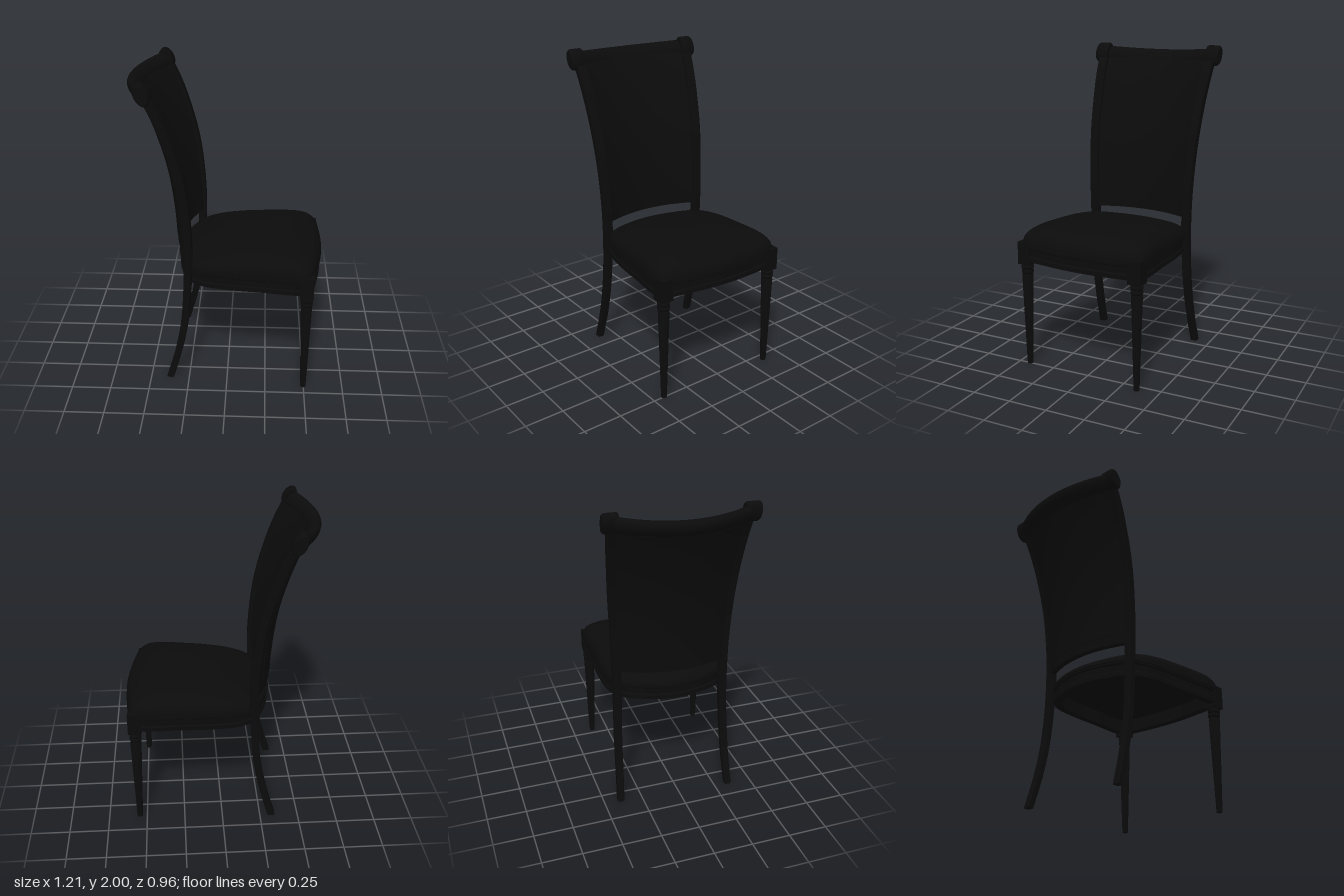
import * as THREE from 'three';
import { toCreasedNormals } from 'three/addons/utils/BufferGeometryUtils.js';

const V = (x, y, z) => new THREE.Vector3(x, y, z);
const black = new THREE.MeshStandardMaterial({ color: 0x0b0b0b });

function part(name, geometry) {
  const mesh = new THREE.Mesh(geometry, black);
  mesh.name = name;
  return mesh;
}

// Skin between closed rings of equal length, with strip caps on both ends
function loft(rings, capped = true, crease = 0.6) {
  const n = rings[0].length, pts = rings.flat(), idx = [];
  for (let r = 0; r < rings.length - 1; r++) {
    for (let i = 0; i < n; i++) {
      const a = r * n + i, b = r * n + (i + 1) % n;
      idx.push(a, b, b + n, a, b + n, a + n);
    }
  }
  if (capped) {
    const e = (rings.length - 1) * n;
    for (let i = 0; i < n / 2 - 1; i++) {
      const j = n - 1 - i;
      idx.push(i + 1, i, j, i + 1, j, j - 1);
      idx.push(e + i, e + i + 1, e + j, e + i + 1, e + j - 1, e + j);
    }
  }
  // Turn the faces outward whichever way the rings run
  let volume = 0;
  for (let i = 0; i < idx.length; i += 3) {
    volume += pts[idx[i]].dot(pts[idx[i + 1]].clone().cross(pts[idx[i + 2]]));
  }
  if (volume < 0) idx.reverse();
  const g = new THREE.BufferGeometry().setFromPoints(pts);
  g.setIndex(idx);
  return toCreasedNormals(g, crease);
}

// Centre line of a rear post, one point every 0.2 of height
const spineX = [-0.35, -0.293, -0.252, -0.232, -0.223, -0.222, -0.235, -0.262, -0.312, -0.382, -0.48];
const spineZ = [0.368, 0.36, 0.355, 0.35, 0.348, 0.35, 0.356, 0.366, 0.376, 0.388, 0.4];
const spine = new THREE.CatmullRomCurve3(spineX.map((x, i) => V(x, i * 0.2, spineZ[i])), false, 'catmullrom');
const spineAt = y => spine.getPoint(y / 2);
const bow = (y, u) => (0.085 + 0.022 * Math.max(0, y - 0.9)) * (1 - u * u);

// Rear leg and back upright in one sweep
function rearPost(side) {
  const rings = [];
  for (let k = 0; k <= 36; k++) {
    const y = 1.93 * k / 36, c = spineAt(y);
    const d = 0.023 + 0.005 * THREE.MathUtils.smoothstep(y, 0.5, 1.2);
    const w = 0.022 + 0.011 * y / 1.93, b = 0.006;
    rings.push([[d, w - b], [d - b, w], [b - d, w], [-d, w - b], [-d, b - w], [b - d, -w], [d - b, -w], [d, b - w]]
      .map(([x, z]) => V(c.x + x, y, side * (c.z + z))));
  }
  return loft(rings);
}

// Bowed slab between the posts; span is the share of the width covered
function backSlab(span, y0, y1, thickness) {
  const rings = [], steps = 20;
  for (let k = 0; k <= 28; k++) {
    const u = span * (k / 14 - 1), ring = [];
    for (const s of [1, -1]) {
      for (let i = 0; i <= steps; i++) {
        const y = y0 + (y1 - y0) * (s > 0 ? i : steps - i) / steps, c = spineAt(y);
        ring.push(V(c.x - bow(y, u) + s * thickness / 2, y, u * c.z));
      }
    }
    rings.push(ring);
  }
  return loft(rings);
}

// Tilted oval used by the top rail and its end scrolls
function oval(cx, cy, z, a, b, tilt) {
  return Array.from({ length: 24 }, (_, i) => {
    const t = i / 24 * Math.PI * 2, x = a * Math.cos(t), y = b * Math.sin(t);
    return V(cx + x * Math.cos(tilt) - y * Math.sin(tilt), cy + x * Math.sin(tilt) + y * Math.cos(tilt), z);
  });
}

function topRail() {
  const rings = [];
  for (let k = 0; k <= 28; k++) {
    const u = k / 14 - 1, f = 1 - u * u;
    rings.push(oval(-0.452 - 0.11 * f, 1.93 - 0.02 * f, u * 0.4, 0.037, 0.055, 0.65));
  }
  return loft(rings);
}

function endScroll(side) {
  const steps = [[0.365, 0.9], [0.373, 1], [0.444, 1], [0.456, 0.85]];
  return loft(steps.map(([z, s]) => oval(-0.45, 1.935, side * z, 0.042 * s, 0.068 * s, 0.45)));
}

// Seat plan: bowed front, rounded and bowed rear
const half = [[0.585, 0.24], [0.558, 0.38], [0.51, 0.432], [0.25, 0.425], [0, 0.41], [-0.13, 0.385], [-0.215, 0.335], [-0.29, 0.19]];
const plan = new THREE.CatmullRomCurve3([
  V(0.602, 0, 0), ...half.map(([x, z]) => V(x, 0, z)),
  V(-0.325, 0, 0), ...half.map(([x, z]) => V(x, 0, -z)).reverse(),
], true, 'centripetal').getPoints(96).slice(0, 96);
const seatX = 0.14;

function planRing(scale, height) {
  return plan.map(p => {
    const x = seatX + (p.x - seatX) * scale;
    return V(x, typeof height === 'function' ? height(x) : height, p.z * scale);
  });
}

// Hollow rail with a moulded top edge
function seatRail() {
  const steps = [[0.88, 0.795], [0.88, 0.7], [0.985, 0.7], [0.985, 0.728], [0.97, 0.735], [0.97, 0.775],
    [0.99, 0.783], [0.99, 0.795], [0.88, 0.795]];
  return loft(steps.map(([s, y]) => planRing(s, y)), false);
}

// Domed cushion, higher toward the front
function cushion() {
  const crown = x => 0.147 - 0.2 * (x - 0.33) ** 2;
  const rings = [planRing(0.85, 0.785), planRing(0.985, 0.79)];
  for (let i = 0; i <= 14; i++) {
    const t = i / 14 * Math.PI / 2;
    const s = Math.max(0.02, Math.cos(t) ** 0.55), h = Math.sin(t) ** 0.75;
    rings.push(planRing(s, x => 0.795 + h * crown(x)));
  }
  return loft(rings, true, 0.9);
}

// Turned, tapered and fluted front leg
function frontLeg() {
  const profile = [[0, 0], [0.017, 0], [0.019, 0.02], [0.036, 0.6], [0.031, 0.61], [0.038, 0.62], [0.038, 0.632],
    [0.032, 0.638], [0.039, 0.648], [0.039, 0.66], [0.033, 0.667], [0.036, 0.69]];
  const g = new THREE.LatheGeometry(profile.map(([r, y]) => new THREE.Vector2(r, y)), 48);
  const p = g.attributes.position;
  for (let i = 0; i < p.count; i++) {
    const y = p.getY(i);
    if (y < 0.01 || y > 0.605) continue;
    const f = 1 - 0.05 * (1 + Math.cos(12 * Math.atan2(p.getX(i), p.getZ(i))));
    p.setX(i, p.getX(i) * f);
    p.setZ(i, p.getZ(i) * f);
  }
  return toCreasedNormals(g, 0.5);
}

export function createModel() {
  const chair = new THREE.Group();
  chair.name = 'diningChair';
  chair.add(part('seatRail', seatRail()), part('seatCushion', cushion()));
  chair.add(part('backPanel', backSlab(0.97, 0.9, 1.92, 0.04)));
  chair.add(part('backPadding', backSlab(0.82, 0.96, 1.86, 0.05)));
  chair.add(part('topRail', topRail()));

  for (const [label, side] of [['left', -1], ['right', 1]]) {
    chair.add(part(label + 'RearPost', rearPost(side)));
    chair.add(part(label + 'EndScroll', endScroll(side)));
    const leg = part(label + 'FrontLeg', frontLeg());
    leg.position.set(0.523, 0, side * 0.393);
    const block = part(label + 'CornerBlock', new THREE.BoxGeometry(0.084, 0.145, 0.084));
    block.position.set(0.523, 0.7475, side * 0.393);
    chair.add(leg, block);
  }

  // The chair stands slightly turned
  chair.rotation.y = -0.064;
  const model = new THREE.Group();
  model.name = 'chair';
  model.add(chair);
  return model;
}
